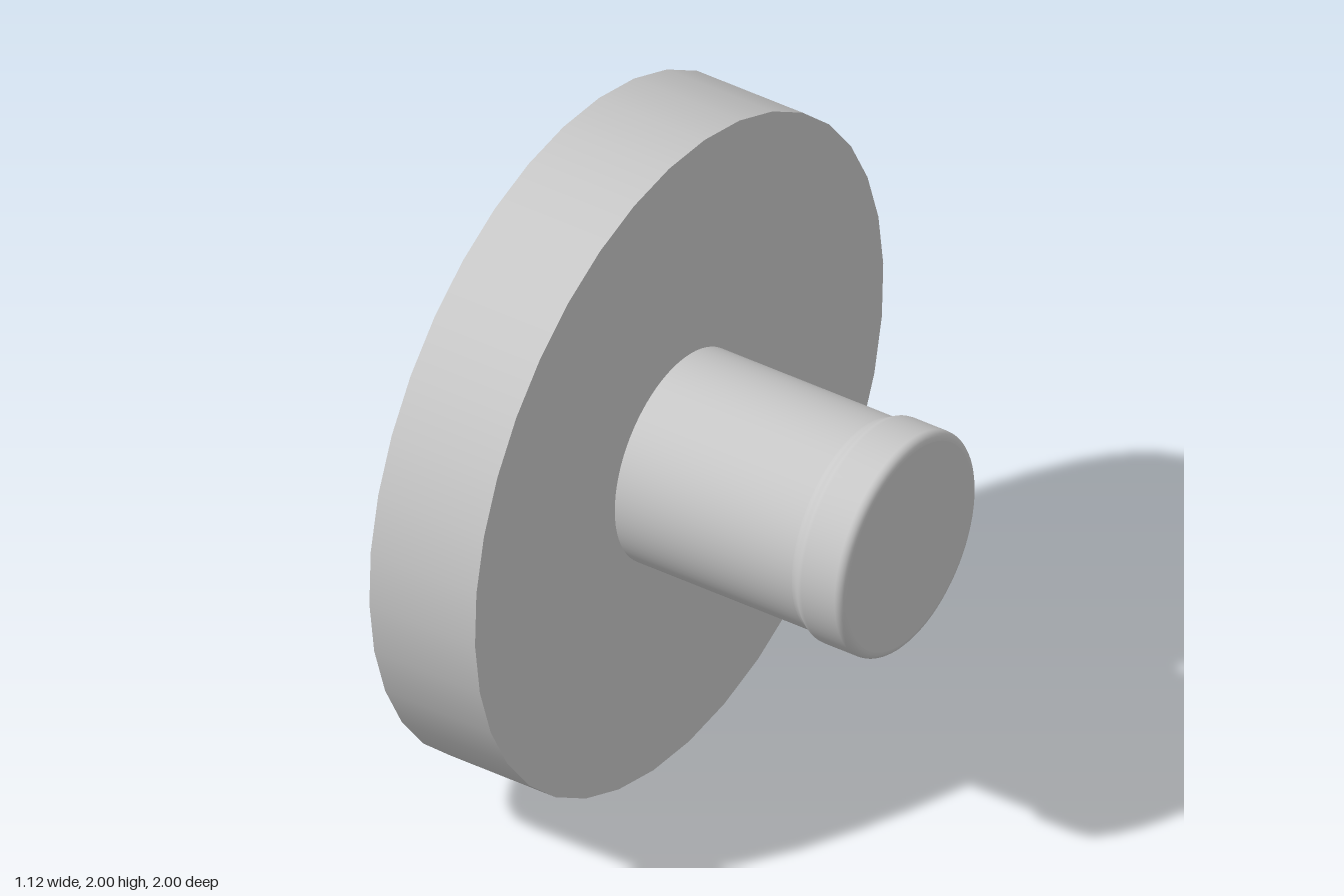
import * as THREE from 'three';

export function createModel() {
  const group = new THREE.Group();
  const grey = new THREE.MeshStandardMaterial({ color: 0xc8c8c8 });
  grey.name = 'plain grey';

  // Surface of revolution about the x axis; profile points are [radius, x]
  const turned = (name, profile, segments, phase = 0) => {
    const points = profile.map(([r, x]) => new THREE.Vector2(r, x));
    const mesh = new THREE.Mesh(new THREE.LatheGeometry(points, segments, phase), grey);
    mesh.name = name;
    mesh.rotation.z = -Math.PI / 2;
    mesh.position.y = 1;
    group.add(mesh);
  };

  // Wide disc: separate faces keep its rims sharp
  const phase = THREE.MathUtils.degToRad(2.8);
  turned('discBack', [[0, -0.56], [1, -0.56]], 36, phase);
  turned('discRim', [[1, -0.56], [1, -0.21]], 36, phase);
  turned('discFace', [[1, -0.21], [0, -0.21]], 36, phase);

  // Stem, flaring softly into the collar, with a rounded end edge
  turned('stem', [[0.315, -0.21], [0.315, 0.376]], 72);
  const fillet = 0.025;
  const collar = [[0.315, 0.376], [0.316, 0.385], [0.321, 0.394], [0.328, 0.403], [0.332, 0.411], [0.333, 0.42]];
  for (let i = 0; i <= 6; i++) {
    const a = (i / 6) * Math.PI / 2;
    collar.push([0.333 - fillet + fillet * Math.cos(a), 0.535 - 0.005 + fillet * Math.sin(a)]);
  }
  turned('collar', collar, 72);
  turned('endCap', [[0.333 - fillet, 0.555], [0, 0.555]], 72);

  return group;
}
